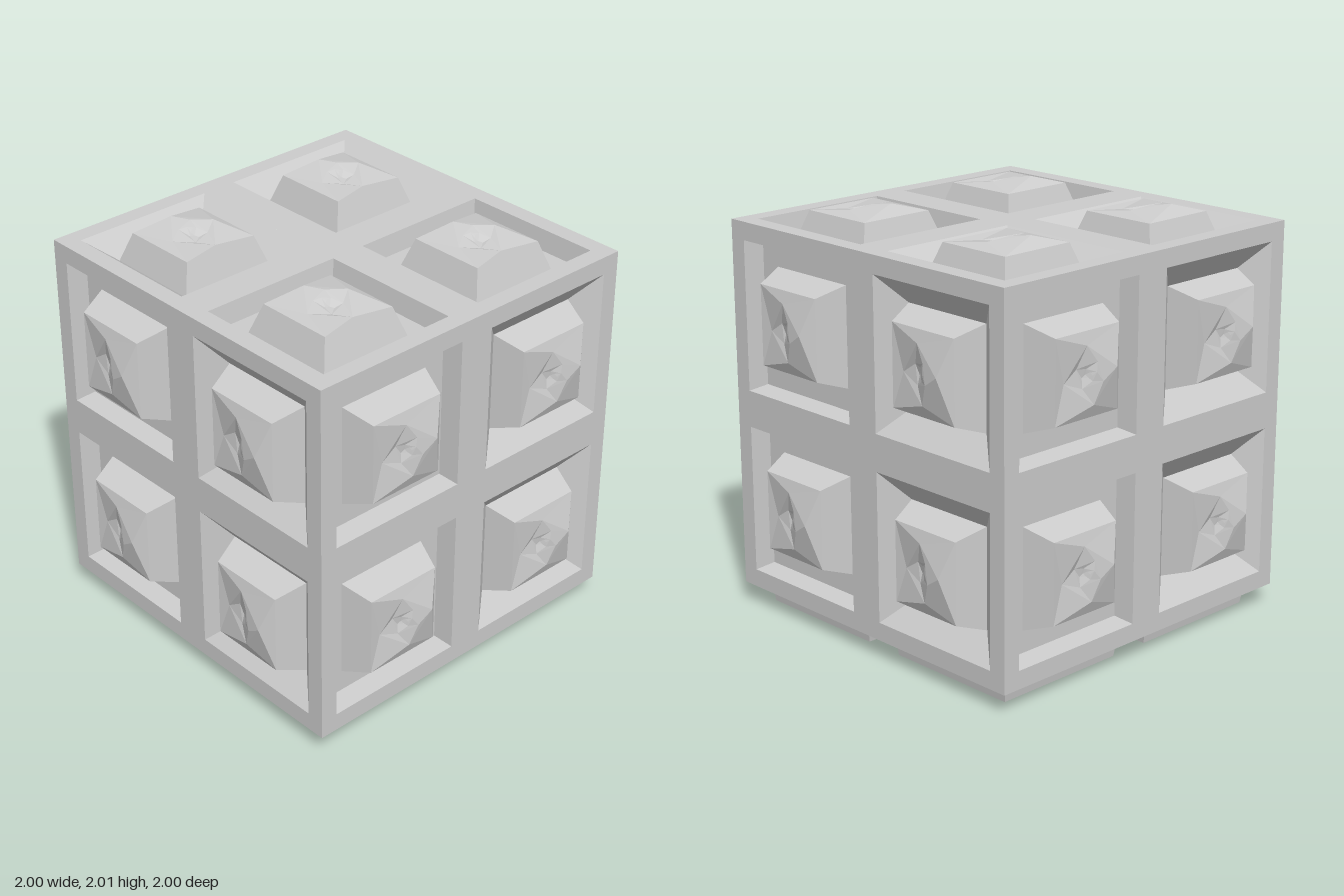
import * as THREE from 'three';

const HALF = 0.908;      // half width of the cube
const CENTRE_Y = 1.008;
const CELL = 0.455;      // panel offset from the face centre
const OPENING = 0.365;   // half width of a panel opening

// Four corners of a square, turned by `turn` and tilted so its +x side rises
function ring(radius, height, turn = 0, slope = 0) {
  return [0, 1, 2, 3].map((i) => {
    const a = Math.PI / 4 + turn + (i * Math.PI) / 2;
    const x = radius * Math.cos(a);
    return [x, radius * Math.sin(a), height + slope * x];
  });
}
const square = (half, height) => ring(half * Math.SQRT2, height);

// Flat-faced skin through successive rings, closed by the last one
function skin(rings, sign) {
  const pos = [];
  const tri = (...corners) => corners.forEach(([x, y, z]) => pos.push(x, y, z * sign));
  for (let r = 0; r + 1 < rings.length; r++) {
    const a = rings[r], b = rings[r + 1];
    for (let i = 0; i < 4; i++) {
      const j = (i + 1) % 4;
      tri(a[i], a[j], b[i]);
      tri(a[j], b[j], b[i]);
    }
  }
  const end = rings[rings.length - 1];
  tri(end[0], end[1], end[2]);
  tri(end[0], end[2], end[3]);
  const geo = new THREE.BufferGeometry();
  geo.setAttribute('position', new THREE.Float32BufferAttribute(pos, 3));
  geo.computeVertexNormals();
  return geo;
}

// Panel: recess, stud and tilted twisted tip; sign -1 turns it inside out
function panelGeometry(wide, sign = 1) {
  const step = THREE.MathUtils.degToRad(53);
  const rings = [square(OPENING, 0)];
  if (!wide) rings.push(square(0.35, -0.1));
  rings.push(
    square(0.243, -0.1),
    square(0.195, 0.042),
    ring(0.136, 0.062, step, 0.22),
    ring(0.066, 0.058, step * 2, 0.45),
    ring(0.03, 0.054, step * 3, 0.7),
    ring(0.012, 0.052, step * 4, 0.9),
  );
  return skin(rings, sign);
}

// Flat face grid with four square openings
function gridGeometry() {
  const outline = (x, y, h) => [[-h, -h], [h, -h], [h, h], [-h, h]]
    .map(([u, v]) => new THREE.Vector2(x + u, y + v));
  const shape = new THREE.Shape(outline(0, 0, HALF));
  for (const x of [-CELL, CELL]) {
    for (const y of [-CELL, CELL]) {
      shape.holes.push(new THREE.Path(outline(x, y, OPENING).reverse()));
    }
  }
  return new THREE.ShapeGeometry(shape);
}

export function createModel() {
  const model = new THREE.Group();
  model.name = 'panelledCube';
  const grey = new THREE.MeshStandardMaterial({ color: 0xcccccc });
  grey.name = 'lightGrey';

  const grid = gridGeometry();
  const stepped = panelGeometry(false);
  const funnel = panelGeometry(true);
  const inverted = panelGeometry(false, -1);

  const q = Math.PI / 2;
  const faces = [
    ['frontFace', 0, 0, 0],
    ['leftFace', 0, q, 0],
    ['backFace', 0, 2 * q, 0],
    ['rightFace', 0, -q, 0],
    ['topFace', -q, 0, q],
    ['bottomFace', q, 0, q],
  ];

  for (const [name, rx, ry, rz] of faces) {
    const face = new THREE.Group();
    face.name = name;
    face.position.y = CENTRE_Y;
    face.rotation.set(rx, ry, rz);

    const frame = new THREE.Mesh(grid, grey);
    frame.name = 'gridFrame';
    frame.position.z = HALF;
    face.add(frame);

    // One column of stepped recesses, one of funnels; raised blocks below
    for (const x of [-CELL, CELL]) {
      for (const y of [-CELL, CELL]) {
        const isBottom = name === 'bottomFace';
        const panel = new THREE.Mesh(isBottom ? inverted : x < 0 ? stepped : funnel, grey);
        panel.name = isBottom ? 'raisedSocket' : x < 0 ? 'steppedStud' : 'funnelStud';
        panel.position.set(x, y, HALF);
        face.add(panel);
      }
    }
    model.add(face);
  }
  return model;
}
